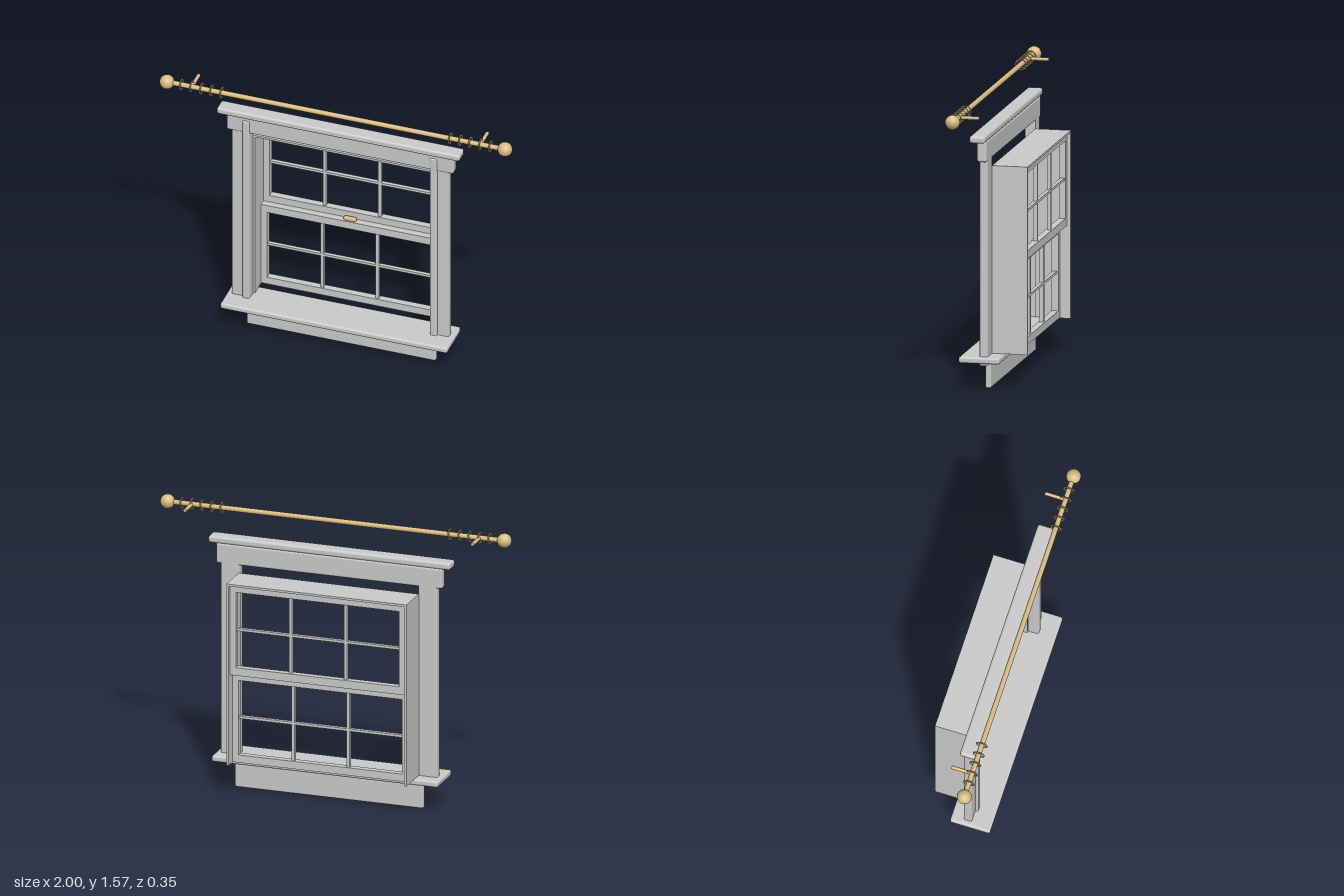
import * as THREE from 'three';
import { RoundedBoxGeometry } from 'three/addons/geometries/RoundedBoxGeometry.js';

const paint = new THREE.MeshStandardMaterial({ color: 0xcccccc });
const brass = new THREE.MeshStandardMaterial({ color: 0xd9bd82 });

// Box given by its limits on each axis; a radius rounds its edges
function block(parent, name, [x0, x1], [y0, y1], [z0, z1], radius = 0, material = paint) {
  const w = x1 - x0, h = y1 - y0, d = z1 - z0;
  const geometry = radius
    ? new RoundedBoxGeometry(w, h, d, 3, radius)
    : new THREE.BoxGeometry(w, h, d);
  const mesh = new THREE.Mesh(geometry, material);
  mesh.name = name;
  mesh.position.set((x0 + x1) / 2, (y0 + y1) / 2, (z0 + z1) / 2);
  parent.add(mesh);
  return mesh;
}

function group(parent, name) {
  const g = new THREE.Group();
  g.name = name;
  parent.add(g);
  return g;
}

// One sash: a frame with a rectangular opening, split into 3 x 2 panes
function addSash(parent, name, [y0, y1], [open0, open1], [z0, z1]) {
  const sash = group(parent, name);
  const half = 0.5, open = 0.466;
  const shape = new THREE.Shape([
    new THREE.Vector2(-half, y0), new THREE.Vector2(half, y0),
    new THREE.Vector2(half, y1), new THREE.Vector2(-half, y1),
  ]);
  shape.holes.push(new THREE.Path([
    new THREE.Vector2(-open, open0), new THREE.Vector2(-open, open1),
    new THREE.Vector2(open, open1), new THREE.Vector2(open, open0),
  ]));
  const frame = new THREE.Mesh(
    new THREE.ExtrudeGeometry(shape, { depth: z1 - z0, bevelEnabled: false }), paint);
  frame.name = 'sashFrame';
  frame.position.z = z0;
  sash.add(frame);

  const mid = (open0 + open1) / 2, zBar = [z0 + 0.008, z1 - 0.008];
  for (const x of [-0.157, 0.157]) {
    block(sash, 'verticalGlazingBar', [x - 0.009, x + 0.009], [open0, open1], zBar);
  }
  block(sash, 'horizontalGlazingBar', [-open, open], [mid - 0.007, mid + 0.007], zBar);
}

function addCurtainRod(parent) {
  const rod = group(parent, 'curtainRod');
  rod.position.set(0, 1.532, 0.133);
  const add = (name, geometry, x = 0, z = 0) => {
    const mesh = new THREE.Mesh(geometry, brass);
    mesh.name = name;
    mesh.position.set(x, 0, z);
    rod.add(mesh);
  };
  add('pole', new THREE.CylinderGeometry(0.014, 0.014, 1.9, 24).rotateZ(Math.PI / 2));
  for (const side of [-1, 1]) {
    add('finial', new THREE.SphereGeometry(0.04, 32, 20), side * 0.96);
    add('wallBracket',
      new THREE.CylinderGeometry(0.01, 0.01, 0.115, 16).rotateX(Math.PI / 2), side * 0.82, -0.0575);
    for (let i = 0; i < 5; i++) {
      add('curtainRing',
        new THREE.TorusGeometry(0.029, 0.004, 10, 32).rotateY(Math.PI / 2), side * (0.65 + i * 0.057));
    }
  }
}

export function createModel() {
  const model = new THREE.Group();
  model.name = 'sashWindow';

  // Trim around the opening
  const trim = group(model, 'trim');
  block(trim, 'headCap', [-0.69, 0.69], [1.365, 1.405], [0.02, 0.105], 0.014);
  block(trim, 'headCasing', [-0.645, 0.645], [1.255, 1.37], [0.02, 0.073], 0.012);
  block(trim, 'sill', [-0.645, 0.645], [0.152, 0.187], [-0.05, 0.175], 0.012);
  block(trim, 'apron', [-0.537, 0.537], [0, 0.16], [0.02, 0.052], 0.01);
  for (const s of [-1, 1]) {
    const span = (a, b) => (s > 0 ? [a, b] : [-b, -a]);
    block(trim, 'sideCasing', span(0.51, 0.617), [0.135, 1.3], [0.02, 0.065], 0.008);
    block(trim, 'casingStrip', span(0.512, 0.552), [0.14, 1.335], [0.03, 0.08], 0.009);
  }

  // Thin lining of the opening, without a bottom
  const lining = group(model, 'lining');
  for (const s of [-1, 1]) {
    block(lining, 'sideLining', s > 0 ? [0.5, 0.513] : [-0.513, -0.5], [0.187, 1.214], [-0.175, 0.02]);
  }
  block(lining, 'topLining', [-0.5, 0.5], [1.202, 1.214], [-0.175, 0.02]);

  // Sashes, the lower one sliding in front of the upper one
  addSash(model, 'upperSash', [0.695, 1.202], [0.74, 1.166], [-0.157, -0.119]);
  addSash(model, 'lowerSash', [0.19, 0.7], [0.233, 0.655], [-0.117, -0.079]);
  block(model, 'sashLock', [-0.035, 0.035], [0.7, 0.722], [-0.107, -0.083], 0.007, brass);

  addCurtainRod(model);
  return model;
}
